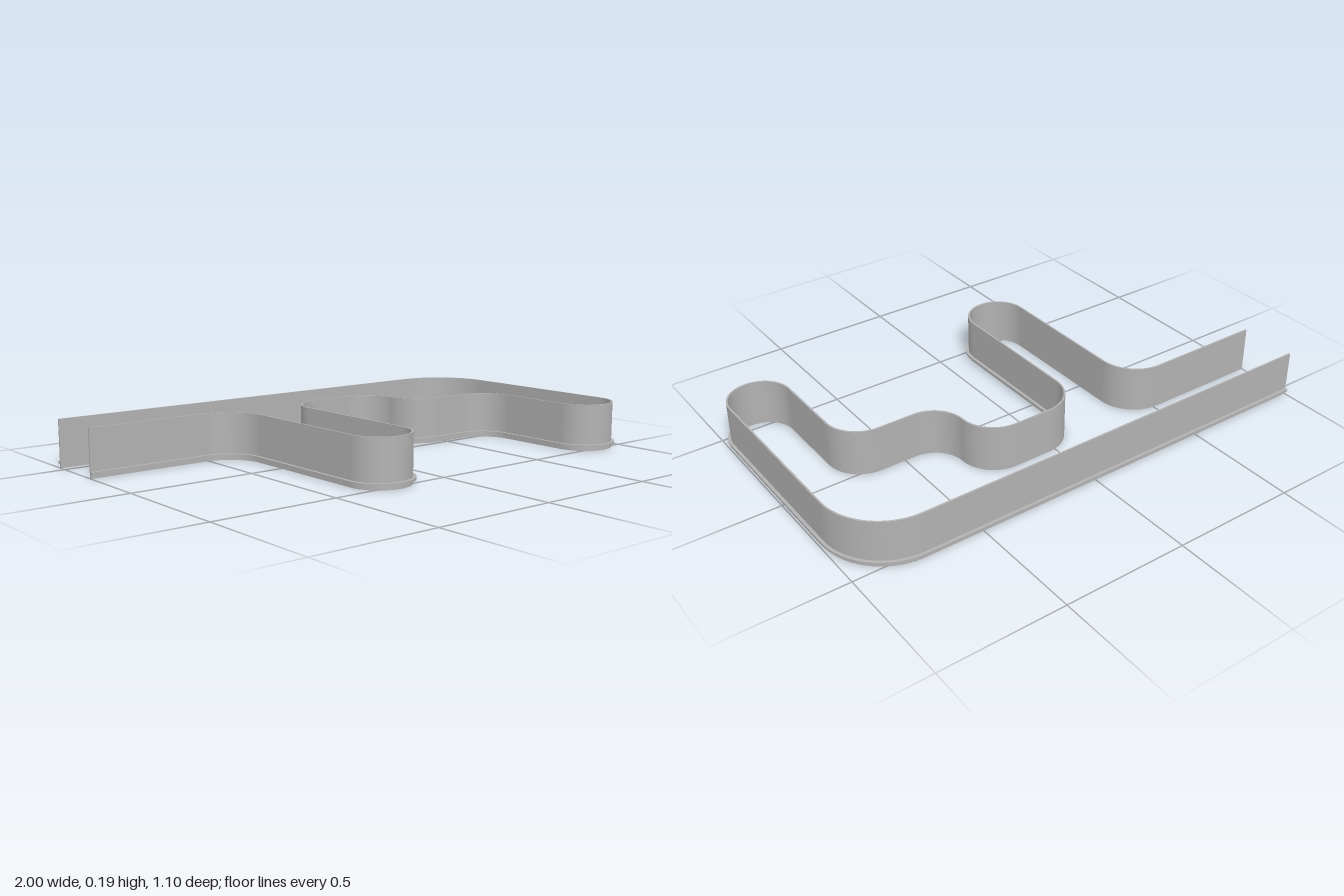
import * as THREE from 'three';

// Outline of the wall's outer face in plan: x, z, corner radius
const corners = [
  [-1, -0.538, 0],
  [0.988, -0.538, 0.25],
  [0.988, 0.538, 0.125], [0.738, 0.538, 0.125],
  [0.738, -0.018, 0.136], [0.32, -0.018, 0.136],
  [0.32, -0.29, 0.136], [-0.115, -0.29, 0.145],
  [-0.115, 0.538, 0.125], [-0.365, 0.538, 0.125],
  [-0.365, -0.29, 0.15],
  [-1, -0.29, 0],
];

// Turns the cornered outline into stations, each with a position and an outward normal
function buildPath(steps = 20) {
  const pts = corners.map(([x, z]) => new THREE.Vector2(x, z));
  const dir = (i) => pts[i + 1].clone().sub(pts[i]).normalize();
  const out = (d) => new THREE.Vector2(d.y, -d.x);
  const last = pts.length - 1;
  const path = [{ p: pts[0], n: out(dir(0)) }];
  for (let i = 1; i < last; i++) {
    const r = corners[i][2], d1 = dir(i - 1), d2 = dir(i);
    const n1 = out(d1), n2 = out(d2);
    const side = Math.sign(d1.dot(n2)); // +1 bulges outward, -1 hollows inward
    const centre = pts[i].clone().addScaledVector(d1, -r).addScaledVector(d2, r);
    for (let k = 0; k <= steps; k++) {
      const a = (k / steps) * Math.PI / 2;
      const n = n1.clone().multiplyScalar(Math.cos(a)).addScaledVector(n2, Math.sin(a));
      path.push({ p: centre.clone().addScaledVector(n, r * side), n });
    }
  }
  path.push({ p: pts[last], n: out(dir(last - 1)) });
  return path;
}

// Sweeps a rectangle (offset from the outline, height) along the path, with end caps
function sweepBar(path, o0, o1, y0, y1) {
  const profile = [[o0, y0], [o1, y0], [o1, y1], [o0, y1]];
  const position = [], normal = [], index = [];
  const add = ({ p, n }, [o, y], nx, ny, nz) => {
    position.push(p.x + n.x * o, y, p.y + n.y * o);
    normal.push(nx, ny, nz);
  };
  // Four long sides, smooth along the path and sharp between sides
  profile.forEach((a, j) => {
    const b = profile[(j + 1) % 4];
    const no = Math.sign(b[1] - a[1]), ny = -Math.sign(b[0] - a[0]);
    const base = position.length / 3;
    path.forEach((s, i) => {
      add(s, a, s.n.x * no, ny, s.n.y * no);
      add(s, b, s.n.x * no, ny, s.n.y * no);
      if (i) {
        const q = base + 2 * (i - 1);
        index.push(q, q + 1, q + 3, q, q + 3, q + 2);
      }
    });
  });
  // End caps
  [[path[0], -1], [path[path.length - 1], 1]].forEach(([s, f]) => {
    const q = position.length / 3;
    profile.forEach((c) => add(s, c, -s.n.y * f, 0, s.n.x * f));
    if (f > 0) index.push(q, q + 1, q + 2, q, q + 2, q + 3);
    else index.push(q, q + 2, q + 1, q, q + 3, q + 2);
  });
  const geometry = new THREE.BufferGeometry();
  geometry.setAttribute('position', new THREE.Float32BufferAttribute(position, 3));
  geometry.setAttribute('normal', new THREE.Float32BufferAttribute(normal, 3));
  geometry.setIndex(index);
  return geometry;
}

export function createModel() {
  const group = new THREE.Group();
  group.name = 'ribbonWall';
  const grey = new THREE.MeshStandardMaterial({ color: 0xb2b2b2 });
  grey.name = 'grey';
  const path = buildPath();

  // Tall thin wall
  const wall = new THREE.Mesh(sweepBar(path, -0.007, 0, 0, 0.188), grey);
  wall.name = 'wall';

  // Narrow ledge around the outside, just above the base
  const ledge = new THREE.Mesh(sweepBar(path, -0.002, 0.012, 0.016, 0.026), grey);
  ledge.name = 'outerLedge';

  group.add(wall, ledge);
  return group;
}
